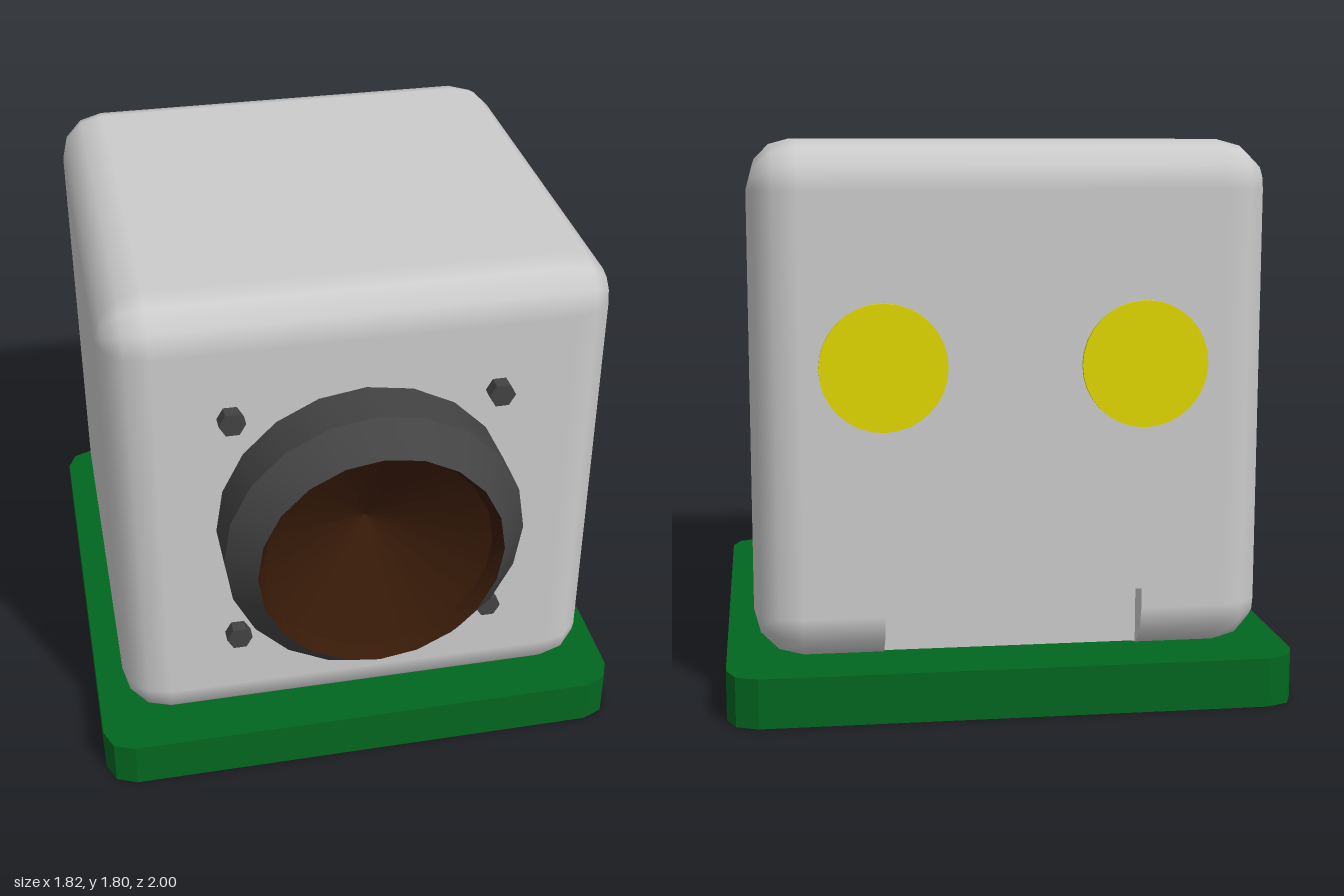
import * as THREE from 'three';
import { toCreasedNormals } from 'three/addons/utils/BufferGeometryUtils.js';

const GREY = 0xcccccc, GREEN = 0x026720, DARK = 0x434343, BROWN = 0x371a08, YELLOW = 0xe0d800;
const HALF = 0.82, RADIUS = 0.155, CORE = HALF - RADIUS;
const CENTER_Y = 0.98, CENTER_Z = -0.09;
const NOTCH = { halfWidth: 0.41, top: 0.38 - CENTER_Y, back: -0.73 };

function part(name, geometry, color, flatShading = false) {
  const mesh = new THREE.Mesh(geometry, new THREE.MeshStandardMaterial({ color, flatShading }));
  mesh.name = name;
  return mesh;
}

// One loop of the housing at a given x; r is the corner radius there.
function housingLoop(x, r, notched) {
  const loop = [];
  const add = (y, z) => loop.push(new THREE.Vector3(x, y, z));
  for (let q = 0; q < 4; q++) {
    const sz = q === 0 || q === 3 ? 1 : -1, sy = q < 2 ? 1 : -1;
    if (q === 2) {
      add(NOTCH.top, -CORE - r);
      add(NOTCH.top, notched ? NOTCH.back : -CORE - r);
    }
    for (let i = 0; i <= 3; i++) {
      const a = (q + i / 3) * Math.PI / 2;
      const z = sz * CORE + r * Math.cos(a);
      add(sy * CORE + r * Math.sin(a), notched && q === 2 ? Math.max(z, NOTCH.back) : z);
    }
  }
  return loop;
}

// Rounded cube with a rectangular notch cut in the lower back edge.
function housingGeometry() {
  const right = [], left = [];
  for (let i = 0; i <= 3; i++) {
    const a = i * Math.PI / 6;
    const x = CORE + RADIUS * Math.cos(a), r = RADIUS * Math.sin(a);
    right.push(housingLoop(-x, r, false));
    left.unshift(housingLoop(x, r, false));
  }
  const w = NOTCH.halfWidth;
  const middle = [[-w, false], [-w, true], [w, true], [w, false]].map(([x, n]) => housingLoop(x, RADIUS, n));
  const cap = x => right[0].map(() => new THREE.Vector3(x, 0, 0));
  const loops = [cap(-HALF), ...right, ...middle, ...left, cap(HALF)];

  const positions = [], normals = [];
  const core = new THREE.Box3(new THREE.Vector3(-CORE, -CORE, -CORE), new THREE.Vector3(CORE, CORE, CORE));
  const triangle = (a, b, c) => {
    const face = b.clone().sub(a).cross(c.clone().sub(a));
    if (face.length() < 1e-8) return;
    face.normalize();
    for (const p of [a, b, c]) {
      // Rounded normal on the shell, flat normal on the notch walls
      const round = p.clone().sub(core.clampPoint(p, new THREE.Vector3())).normalize();
      const n = round.dot(face) > 0.75 ? round : face;
      positions.push(p.x, p.y, p.z);
      normals.push(n.x, n.y, n.z);
    }
  };
  for (let i = 0; i < loops.length - 1; i++) {
    const A = loops[i], B = loops[i + 1];
    for (let j = 0; j < A.length; j++) {
      const k = (j + 1) % A.length;
      triangle(A[j], B[j], B[k]);
      triangle(A[j], B[k], A[k]);
    }
  }
  const geometry = new THREE.BufferGeometry();
  geometry.setAttribute('position', new THREE.Float32BufferAttribute(positions, 3));
  geometry.setAttribute('normal', new THREE.Float32BufferAttribute(normals, 3));
  return geometry;
}

// Flat plate with small rounded corners
function baseGeometry() {
  const h = 0.91, r = 0.1, c = h - r;
  const shape = new THREE.Shape();
  [[1, 1], [-1, 1], [-1, -1], [1, -1]].forEach(([sx, sy], q) => {
    for (let i = 0; i <= 2; i++) {
      const a = (q + i / 2) * Math.PI / 2;
      const x = sx * c + r * Math.cos(a), y = sy * c + r * Math.sin(a);
      if (q + i === 0) shape.moveTo(x, y);
      else shape.lineTo(x, y);
    }
  });
  return new THREE.ExtrudeGeometry(shape, { depth: 0.16, bevelEnabled: false }).rotateX(-Math.PI / 2);
}

// Twenty-sided turned part with its axis along z; profile is [radius, z].
function turned(profile) {
  const points = profile.map(([r, z]) => new THREE.Vector2(r, z));
  return toCreasedNormals(new THREE.LatheGeometry(points, 20).rotateX(Math.PI / 2), Math.PI / 7);
}

export function createModel() {
  const model = new THREE.Group();
  model.name = 'boxOnBase';

  const base = part('base', baseGeometry(), GREEN);
  base.position.z = CENTER_Z;

  const housing = part('housing', housingGeometry(), GREY);
  housing.position.set(0, CENTER_Y, CENTER_Z);
  model.add(base, housing);

  // Round front barrel with a sunken cone
  const barrel = new THREE.Group();
  barrel.name = 'frontBarrel';
  barrel.position.y = 0.983;
  barrel.add(
    part('barrelRing', turned([[0.488, 0.7], [0.488, 0.9], [0.397, 1]]), DARK),
    part('barrelCone', turned([[0.397, 1], [0.37, 0.95], [0, 0.735]]), BROWN),
  );
  model.add(barrel);

  // Four hexagonal bolts around the barrel
  for (const x of [-0.43, 0.43]) {
    for (const y of [0.553, 1.413]) {
      const hex = new THREE.CylinderGeometry(0.043, 0.043, 0.075, 6).rotateY(Math.PI / 2).rotateX(Math.PI / 2);
      const bolt = part('bolt', hex, DARK, true);
      bolt.position.set(x, y, 0.7375);
      model.add(bolt);
    }
  }

  // Two thin round discs on the back
  for (const x of [-0.41, 0.41]) {
    const disc = part('backDisc', new THREE.CylinderGeometry(0.2, 0.2, 0.03, 32).rotateX(Math.PI / 2), YELLOW);
    disc.position.set(x, 1.105, -0.907);
    model.add(disc);
  }
  return model;
}
